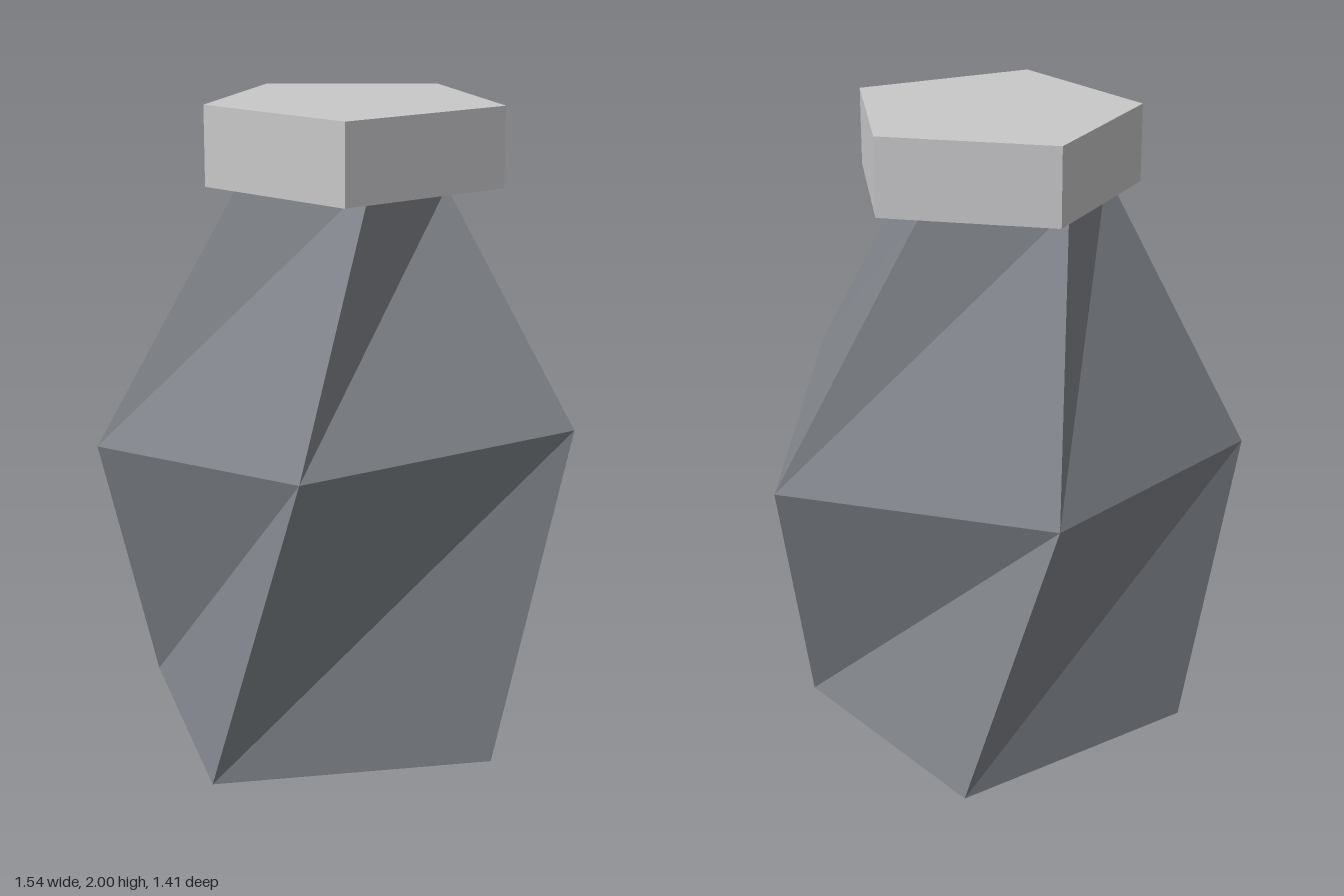
import * as THREE from 'three';

// Faceted skin through five-sided rings, listed bottom to top; ends optionally closed
function loft(rings, closed) {
  const pos = [];
  const tri = (a, b, c) => pos.push(...a, ...b, ...c);
  for (let r = 0; r < rings.length - 1; r++) {
    const lo = rings[r], hi = rings[r + 1], n = lo.length;
    for (let i = 0; i < n; i++) {
      const j = (i + 1) % n;
      tri(lo[i], lo[j], hi[j]);
      tri(lo[i], hi[j], hi[i]);
    }
  }
  if (closed) {
    const bottom = rings[0], top = rings[rings.length - 1];
    for (let i = 1; i < top.length - 1; i++) {
      tri(top[0], top[i], top[i + 1]);
      tri(bottom[0], bottom[i + 1], bottom[i]);
    }
  }
  const geometry = new THREE.BufferGeometry();
  geometry.setAttribute('position', new THREE.Float32BufferAttribute(pos, 3));
  geometry.computeVertexNormals();
  return geometry;
}

export function createModel() {
  const group = new THREE.Group();
  group.name = 'bottle';

  const bodyGrey = new THREE.MeshStandardMaterial({ color: 0x80848a, side: THREE.DoubleSide, flatShading: true });
  bodyGrey.name = 'bodyGrey';
  const capGrey = new THREE.MeshStandardMaterial({ color: 0xc8c8ca, flatShading: true });
  capGrey.name = 'capGrey';

  // Twisted body, open underneath: foot, shoulder and neck rings
  const foot = [[-0.625, 0, 0.51], [0.23, 0, 0.695], [0.65, 0, 0.04], [0.26, 0, -0.69], [-0.53, 0, -0.36]];
  const shoulder = [[-0.41, 1, 0.705], [0.51, 1.04, 0.65], [0.77, 0.9, -0.25], [-0.03, 0.92, -0.71], [-0.77, 0.9, -0.165]];
  const neck = [[-0.05, 1.8, 0.38], [0.28, 1.73, 0.2], [0.28, 1.77, -0.19], [-0.15, 1.77, -0.27], [-0.35, 1.77, 0.06]];
  const body = new THREE.Mesh(loft([foot, shoulder, neck], false), bodyGrey);
  body.name = 'body';
  group.add(body);

  // Five-sided cap
  const outline = [[-0.19, 0.51], [0.385, 0.385], [0.42, -0.175], [-0.1, -0.385], [-0.45, 0.02]];
  const capRing = (y) => outline.map(([x, z]) => [x, y, z]);
  const cap = new THREE.Mesh(loft([capRing(1.75), capRing(2)], true), capGrey);
  cap.name = 'cap';
  group.add(cap);

  return group;
}
